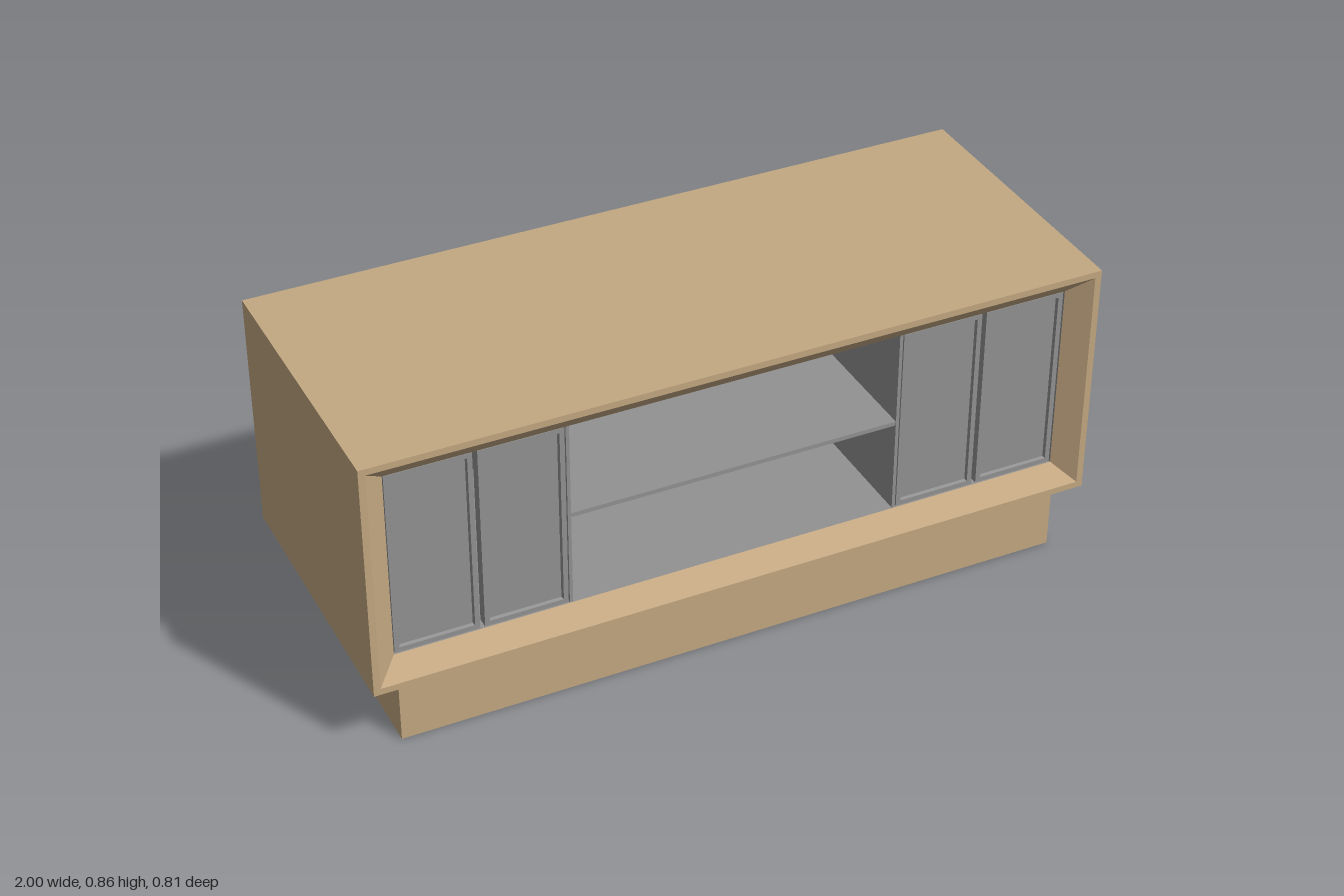
import * as THREE from 'three';

const wood = new THREE.MeshStandardMaterial({ color: 0xc4a882 });
wood.name = 'wood';
const grey = new THREE.MeshStandardMaterial({ color: 0x929292 });
grey.name = 'grey';

// Skin through rectangular sections [halfWidth, bottom, top, z], listed so that
// faces point outward when z rises; optional end caps face backward or forward.
function loft(sections, material, name, capFirst, capLast) {
  const pos = [];
  const corners = ([w, b, t, z]) => [[-w, b, z], [w, b, z], [w, t, z], [-w, t, z]];
  const quad = (a, b, c, d) => [a, b, c, a, c, d].forEach((p) => pos.push(...p));
  for (let i = 0; i + 1 < sections.length; i++) {
    const p = corners(sections[i]);
    const q = corners(sections[i + 1]);
    for (let k = 0; k < 4; k++) {
      const n = (k + 1) % 4;
      quad(p[k], p[n], q[n], q[k]);
    }
  }
  if (capFirst) quad(...corners(sections[0]).reverse());
  if (capLast) quad(...corners(sections[sections.length - 1]));
  const geo = new THREE.BufferGeometry();
  geo.setAttribute('position', new THREE.Float32BufferAttribute(pos, 3));
  geo.computeVertexNormals();
  const mesh = new THREE.Mesh(geo, material);
  mesh.name = name;
  return mesh;
}

// Box given by its minimum and maximum corners
function box(min, max, material, name) {
  const size = max.map((v, i) => v - min[i]);
  const mesh = new THREE.Mesh(new THREE.BoxGeometry(...size), material);
  mesh.position.set(...max.map((v, i) => (v + min[i]) / 2));
  mesh.name = name;
  return mesh;
}

// Cabinet door: outer slab, thin rim and slightly sunken panel
function door(x, width, bottom, top, front) {
  const h = (top - bottom) / 2;
  const w = width / 2;
  const rim = 0.013;
  const mesh = loft([
    [w, -h, h, -0.03],
    [w, -h, h, 0],
    [w - rim, -h + rim, h - rim, 0],
    [w - rim - 0.003, -h + rim + 0.003, h - rim - 0.003, -0.008],
  ], grey, 'door', true, true);
  mesh.position.set(x, (top + bottom) / 2, front);
  return mesh;
}

export function createModel() {
  const model = new THREE.Group();
  model.name = 'sideboard';
  const bottom = 0.255, top = 0.786, open = 0.926, front = 0.355, back = -0.36;

  // Plinth
  model.add(box([-0.926, 0, -0.372], [0.926, 0.186, 0.372], wood, 'plinth'));

  // Casing with a narrow lip and a bevel leading in to the opening
  model.add(loft([
    [1, 0.185, 0.855, -0.403],
    [1, 0.185, 0.855, 0.403],
    [0.982, 0.203, 0.837, 0.403],
    [open, bottom, top, front],
  ], wood, 'casing', true, false));

  // Interior lining
  model.add(loft([
    [open, bottom, top, front],
    [open, bottom, top, back],
  ], grey, 'interior', false, true));

  // Shelf
  model.add(box([-0.45, 0.513, back], [0.45, 0.525, front - 0.003], grey, 'shelf'));

  // Dividers and paired doors on both sides
  for (const side of [-1, 1]) {
    const a = side * 0.45, b = side * 0.459;
    model.add(box([Math.min(a, b), bottom, back], [Math.max(a, b), top, front - 0.002], grey, 'divider'));
    for (const x of [0.574, 0.811]) {
      model.add(door(side * x, 0.224, bottom + 0.002, top - 0.003, front - 0.002));
    }
  }
  return model;
}
